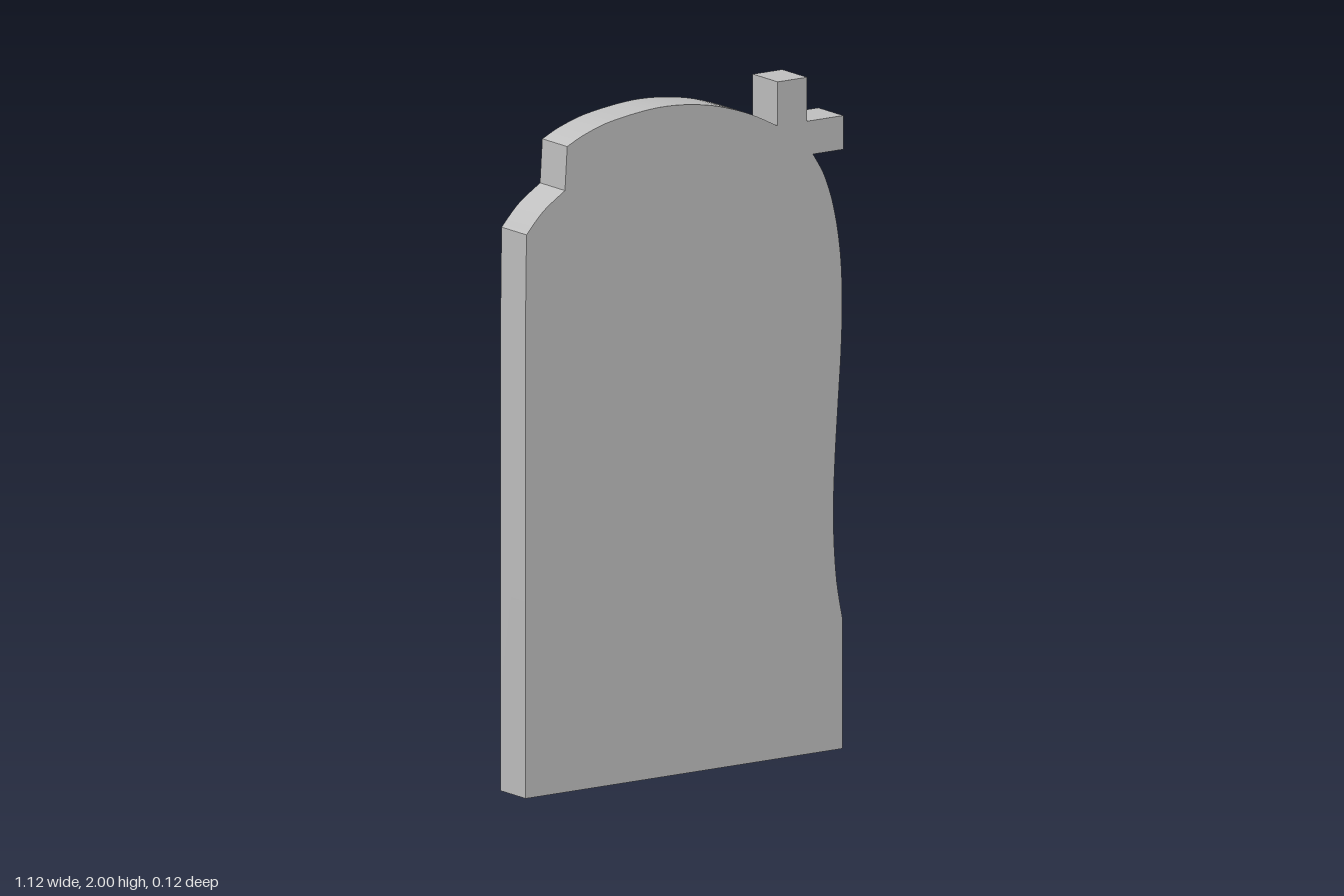
import * as THREE from 'three';
import { toCreasedNormals } from 'three/addons/utils/BufferGeometryUtils.js';

const DEPTH = 0.124;
const points = (list) => list.map(([x, y]) => new THREE.Vector2(x, y));

export function createModel() {
  const model = new THREE.Group();
  model.name = 'headstone';

  const stone = new THREE.MeshStandardMaterial({ color: 0xc0c0c0 });
  stone.name = 'grey stone';

  // Straight base, then the waved edge rising on the model's left
  const outline = new THREE.Shape();
  outline.moveTo(-0.563, 0);
  outline.lineTo(0.558, 0);
  outline.lineTo(0.558, 0.38);
  outline.splineThru(points([
    [0.535, 0.51], [0.525, 0.68], [0.53, 0.85], [0.541, 1.02], [0.552, 1.18],
    [0.556, 1.33], [0.549, 1.47], [0.527, 1.6], [0.494, 1.7], [0.453, 1.77],
  ]));

  // Cross arms standing out of the corner
  for (const [x, y] of [[0.56, 1.77], [0.56, 1.87], [0.432, 1.87], [0.432, 2], [0.328, 2], [0.328, 1.87]]) {
    outline.lineTo(x, y);
  }

  // Arched top
  outline.splineThru(points([
    [0.22, 1.922], [0.08, 1.964], [-0.08, 1.98], [-0.25, 1.963], [-0.35, 1.936], [-0.416, 1.907],
  ]));

  // Step and sloped shoulder on the model's right
  outline.lineTo(-0.424, 1.778);
  outline.splineThru(points([[-0.5, 1.727], [-0.56, 1.665]]));
  outline.lineTo(-0.563, 1.44);
  outline.closePath();

  const slab = new THREE.ExtrudeGeometry(outline, { depth: DEPTH, bevelEnabled: false, curveSegments: 5 });
  slab.translate(0, 0, -DEPTH / 2);
  const mesh = new THREE.Mesh(toCreasedNormals(slab, 0.17), stone);
  mesh.name = 'stoneSlabWithCross';
  model.add(mesh);

  return model;
}
